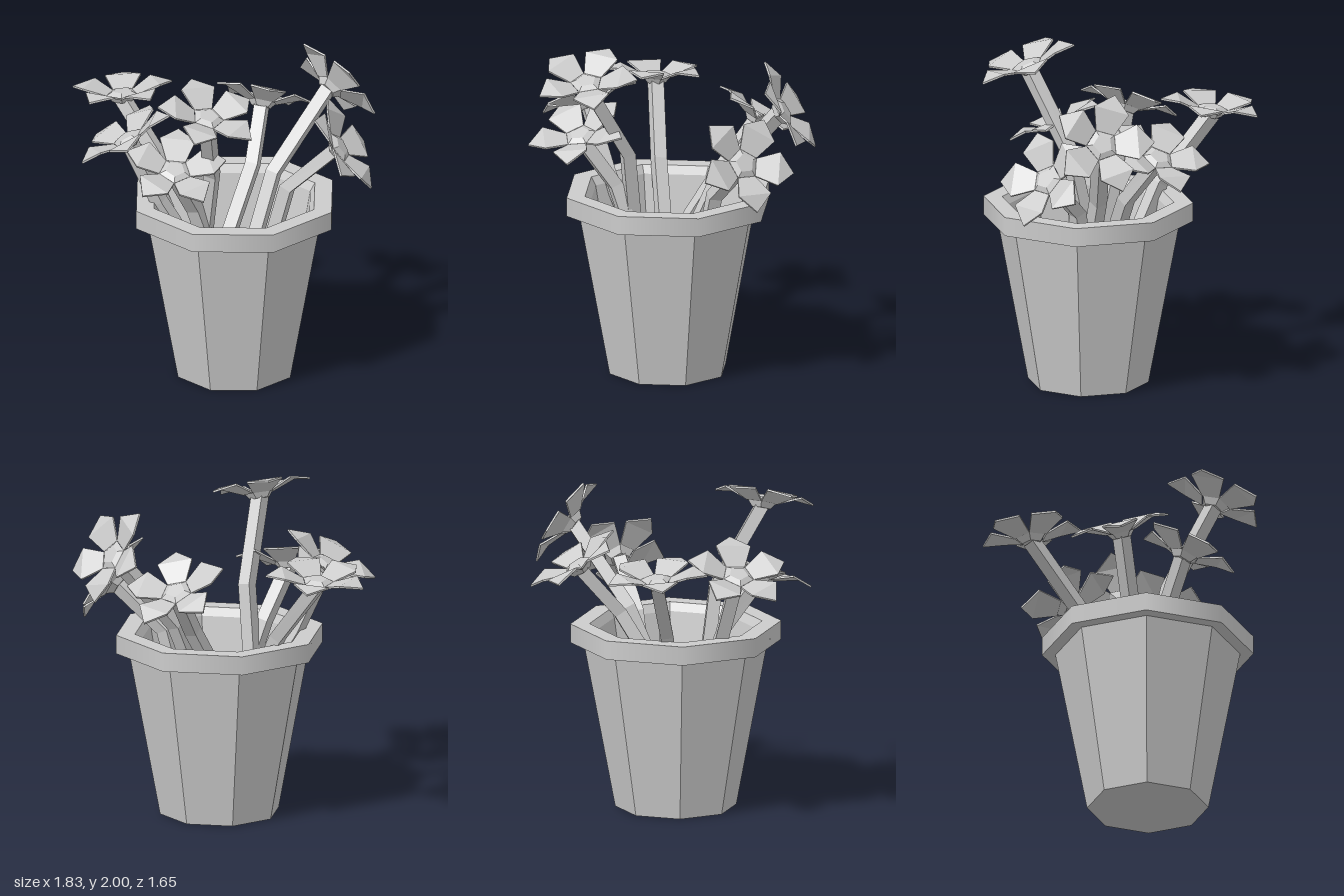
import * as THREE from 'three';

const grey = new THREE.MeshStandardMaterial({ color: 0xcccccc, side: THREE.DoubleSide });
grey.name = 'light grey';

const part = (geometry, name) => {
  const m = new THREE.Mesh(geometry, grey);
  m.name = name;
  return m;
};

// Faceted part: every face keeps its own normal
const facetedPart = (geometry, name) => {
  const g = geometry.index ? geometry.toNonIndexed() : geometry;
  g.computeVertexNormals();
  return part(g, name);
};

// Eight-sided turned surface from [radius, height] points
const turned = points => new THREE.LatheGeometry(points.map(([r, y]) => new THREE.Vector2(r, y)), 8);

// Polyline sampled exactly at its corner points
class Polyline extends THREE.Curve {
  constructor(points) { super(); this.points = points; }
  getPoint(t, out = new THREE.Vector3()) {
    const n = this.points.length - 1;
    const s = Math.min(Math.max(t, 0), 1) * n;
    const i = Math.min(Math.floor(s + 1e-9), n - 1);
    return out.copy(this.points[i]).lerp(this.points[i + 1], s - i);
  }
  getUtoTmapping(u) { return u; }
}

// Petal along +x: rising inner plate, drooping pointed end, thin edge
function petalGeometry() {
  const outline = [[0.08, 0, 0.057], [0.21, 0.055, 0.108], [0.315, 0.035, 0], [0.21, 0.055, -0.108], [0.08, 0, -0.057]];
  const faces = [[0, 1, 4], [1, 3, 4], [1, 2, 3]];
  const pos = [];
  const low = ([x, y, z]) => [x, y - 0.012, z];
  const tri = (a, b, c) => pos.push(...a, ...b, ...c);
  for (const face of faces) {
    const [a, b, c] = face.map(i => outline[i]);
    tri(a, b, c);
    tri(low(a), low(c), low(b));
  }
  outline.forEach((a, i) => {
    const b = outline[(i + 1) % outline.length];
    tri(a, low(a), b);
    tri(b, low(a), low(b));
  });
  const g = new THREE.BufferGeometry();
  g.setAttribute('position', new THREE.Float32BufferAttribute(pos, 3));
  return g;
}

function flowerHead(centre, normal, rollDegrees, petal) {
  const head = new THREE.Group();
  head.name = 'flowerHead';
  // Calyx below and a shallow bevelled disc above
  const calyx = facetedPart(new THREE.CylinderGeometry(0.098, 0.06, 0.045, 5), 'calyx');
  calyx.position.y = -0.0225;
  const disc = facetedPart(new THREE.CylinderGeometry(0.06, 0.098, 0.02, 5), 'flowerCentre');
  disc.position.y = 0.01;
  // Pentagon sides face the petals
  calyx.rotation.y = disc.rotation.y = Math.PI / 2 + Math.PI / 5;
  head.add(calyx, disc);
  for (let i = 0; i < 5; i++) {
    const p = facetedPart(petal, 'petal');
    p.rotation.y = i * Math.PI * 2 / 5;
    head.add(p);
  }
  const up = new THREE.Vector3(0, 1, 0);
  head.quaternion.setFromUnitVectors(up, normal)
    .multiply(new THREE.Quaternion().setFromAxisAngle(up, THREE.MathUtils.degToRad(rollDegrees)));
  head.position.copy(centre);
  return head;
}

export function createModel() {
  const model = new THREE.Group();
  model.name = 'pottedFlowers';

  // Hollow pot with a smooth-shaded overhanging rim
  const pot = new THREE.Group();
  pot.name = 'pot';
  pot.add(
    facetedPart(turned([[0, 0], [0.365, 0], [0.555, 1.015], [0.635, 1.015]]), 'potWall'),
    part(turned([[0.635, 1.015], [0.635, 1.13]]), 'rimBand'),
    facetedPart(turned([[0.635, 1.13], [0.52, 1.13], [0.49, 1.08], [0.37, 0.42], [0, 0.42]]), 'potInside'),
  );
  pot.position.z = 0.145;
  model.add(pot);

  // Flowers: head centre, facing direction, roll, stem points from the soil up
  const flowers = [
    { at: [-0.335, 1.86, 0.555], face: [0.08, 0.93, 0.34], roll: 18, stem: [[-0.22, 0.42, 0.08], [-0.2, 1.36, 0.28]] },
    { at: [-0.45, 1.59, -0.55], face: [-0.03, 0.98, -0.12], roll: 66, stem: [[-0.04, 0.42, 0.05], [-0.27, 1.17, -0.25]] },
    { at: [-0.63, 1.545, -0.01], face: [-0.43, 0.87, -0.22], roll: 36, stem: [[-0.05, 0.42, 0.16], [-0.45, 1.13, 0.05]] },
    { at: [0.37, 1.51, -0.325], face: [0.36, 0.85, -0.38], roll: 36, stem: [[-0.2, 0.42, 0.14], [0.22, 1.2, -0.11]] },
    { at: [0.61, 1.42, 0.32], face: [0.69, 0.54, 0.45], roll: 36, stem: [[0.15, 0.42, 0.1], [0.33, 1.14, 0.17]] },
    { at: [0.695, 1.675, -0.025], face: [0.78, 0.5, -0.28], roll: 36, stem: [[-0.02, 0.42, 0.2], [0.29, 1.2, 0.05]] },
    { at: [-0.475, 1.46, 0.375], face: [-0.08, 0.88, 0.4], roll: 66, stem: [[-0.04, 0.42, 0.22], [-0.3, 1.14, 0.25]] },
  ];
  const petal = petalGeometry();
  for (const { at, face, roll, stem } of flowers) {
    const flower = new THREE.Group();
    flower.name = 'flower';
    const centre = new THREE.Vector3(...at);
    const normal = new THREE.Vector3(...face).normalize();
    const path = stem.map(p => new THREE.Vector3(...p));
    path.push(centre.clone().addScaledVector(normal, -0.03));
    flower.add(facetedPart(new THREE.TubeGeometry(new Polyline(path), path.length - 1, 0.055, 4), 'stem'));
    flower.add(flowerHead(centre, normal, roll, petal));
    model.add(flower);
  }
  return model;
}
